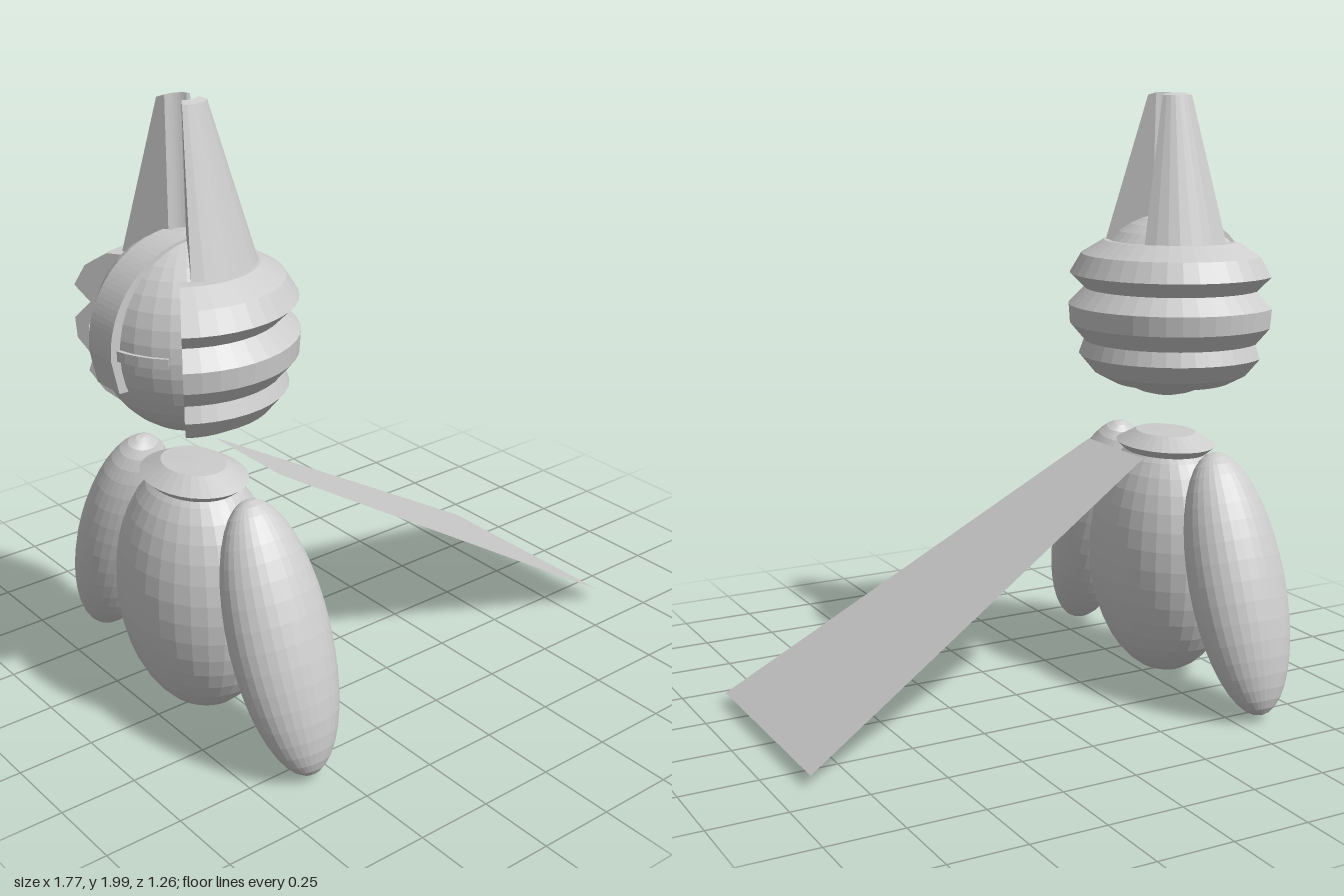
import * as THREE from 'three';

const CX = -0.58; // axis of the body
const DEG = Math.PI / 180;

export function createModel() {
  const group = new THREE.Group();
  group.name = 'hornedFigure';
  const grey = new THREE.MeshStandardMaterial({ color: 0xcccccc, flatShading: true, side: THREE.DoubleSide });
  grey.name = 'light grey';

  const add = (name, geo, parent = group) => {
    const mesh = new THREE.Mesh(geo, grey);
    mesh.name = name;
    parent.add(mesh);
    return mesh;
  };

  const ellipsoid = (name, rx, ry, rz, x, y, z) => {
    const mesh = add(name, new THREE.SphereGeometry(1, 32, 20).scale(rx, ry, rz));
    mesh.position.set(x, y, z);
    return mesh;
  };

  // Partial turn of a closed (radius, height) outline, with flat end caps
  const sector = (name, outline, x, start, end, segments) => {
    const part = new THREE.Group();
    part.name = name;
    part.position.x = x;
    const pts = outline.map(([r, y]) => new THREE.Vector2(r, y));
    add(name + 'Shell', new THREE.LatheGeometry([...pts, pts[0]], segments, start * DEG, (end - start) * DEG), part);
    for (const phi of [start, end]) {
      add(name + 'End', new THREE.ShapeGeometry(new THREE.Shape(pts)), part).rotation.y = (phi - 90) * DEG;
    }
    group.add(part);
  };

  // Body and the two splayed side limbs
  ellipsoid('body', 0.24, 0.425, 0.3, CX, 0.435, 0);
  for (const s of [1, -1]) {
    ellipsoid(s > 0 ? 'frontLimb' : 'backLimb', 0.167, 0.432, 0.13, CX, 0.437, s * 0.435).rotation.x = -s * 20.5 * DEG;
  }

  // Oval collar
  const collarProfile = [[0, 0.79], [0.165, 0.795], [0.2, 0.822], [0.12, 0.862], [0, 0.864]];
  const collar = add('collar', new THREE.LatheGeometry(collarProfile.map(p => new THREE.Vector2(...p)), 32));
  collar.scale.x = 0.77;
  collar.position.x = CX;

  // Head
  ellipsoid('head', 0.283, 0.307, 0.29, CX, 1.296, 0);

  // Ribbed helmet, open towards -x
  sector('helmet', [
    [0.2, 1.035], [0.265, 1.07], [0.315, 1.13], [0.298, 1.178], [0.347, 1.235], [0.352, 1.3],
    [0.298, 1.355], [0.348, 1.405], [0.31, 1.47], [0.235, 1.515], [0.18, 1.515],
    [0.25, 1.42], [0.265, 1.3], [0.25, 1.18],
  ], -0.6, -90 + 56, 270 - 56, 28);

  // Pair of tapering wedge horns
  const horn = [[0.055, 1.5], [0.215, 1.5], [0.076, 1.992], [0.05, 2]];
  sector('frontHorn', horn, CX, -30, 55, 8);
  sector('backHorn', horn, CX, 125, 210, 8);

  // Brow bar and curved nose guard on the face
  sector('browBar', [[0.25, 1.283], [0.294, 1.283], [0.294, 1.315], [0.25, 1.315]], CX, 225, 315, 10);
  const arc = new THREE.Shape();
  arc.absarc(0, 0, 0.307, 95 * DEG, 182 * DEG, false);
  arc.lineTo(-0.285, -0.115);
  arc.lineTo(-0.22, -0.115);
  arc.absarc(0, 0, 0.24, 182 * DEG, 95 * DEG, true);
  const guard = add('noseGuard', new THREE.ExtrudeGeometry(arc, { depth: 0.12, bevelEnabled: false, curveSegments: 14 }));
  guard.position.set(CX, 1.296, -0.06);

  // Flat cape flaring away along +x
  const cape = new THREE.PlaneGeometry(1, 1);
  const p = cape.attributes.position;
  [[-0.38, 0.82, 0.175], [-0.38, 0.82, -0.175], [0.888, 0.05, 0.38], [0.888, 0.05, -0.38]]
    .forEach((c, i) => p.setXYZ(i, ...c));
  cape.computeVertexNormals();
  add('cape', cape);

  return group;
}
